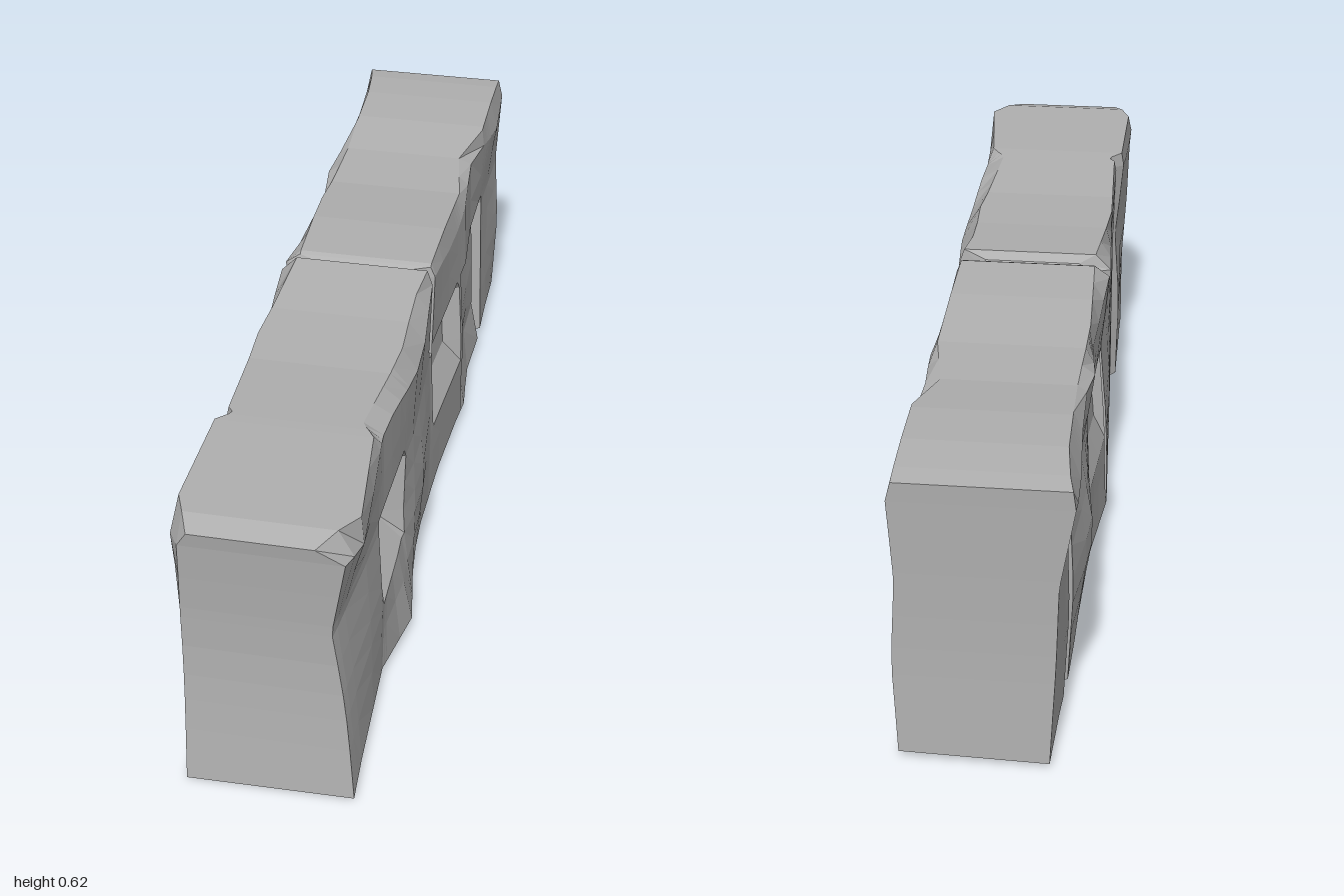
import * as THREE from 'three';

// piecewise-linear curve through [z, value] pairs
function curve(pts) {
  return z => {
    if (z <= pts[0][0]) return pts[0][1];
    for (let i = 1; i < pts.length; i++) {
      const [a, va] = pts[i - 1], [b, vb] = pts[i];
      if (z <= b) return va + (vb - va) * (z - a) / (b - a);
    }
    return pts[pts.length - 1][1];
  };
}

// half-width of each face along the wall, at five heights from base to top edge
const levels = [0.02, 0.22, 0.4, 0.57, 0.62];
const right = [
  [[-1, .14], [-.7, .15], [-.56, .145], [-.4, .165], [-.1, .15], [.1, .15], [.25, .16], [.45, .195], [.62, .165], [1, .185]],
  [[-1, .15], [-.8, .14], [-.4, .17], [0, .15], [.25, .18], [.4, .155], [.65, .17], [1, .165]],
  [[-1, .14], [-.6, .14], [-.4, .16], [0, .145], [.3, .165], [.7, .16], [1, .14]],
  [[-1, .15], [-.85, .16], [-.57, .14], [-.4, .155], [0, .15], [.25, .175], [.6, .16], [.9, .185], [1, .17]],
  [[-1, .14], [-.7, .145], [-.57, .11], [-.4, .14], [0, .14], [.12, .13], [.3, .14], [.6, .12], [.64, .15], [.9, .18], [1, .115]],
].map(curve);
const left = [
  [[-1, .15], [-.7, .16], [-.3, .16], [0, .185], [.25, .17], [.6, .15], [.64, .16], [1, .15]],
  [[-1, .16], [-.7, .17], [-.5, .195], [-.3, .165], [0, .18], [.2, .175], [.6, .15], [.64, .165], [1, .15]],
  [[-1, .165], [-.6, .16], [0, .165], [.6, .15], [.9, .165], [1, .15]],
  [[-1, .195], [-.9, .195], [-.6, .175], [-.5, .19], [-.3, .17], [0, .185], [.3, .165], [.6, .155], [.64, .17], [.95, .17], [1, .145]],
  [[-1, .19], [-.9, .17], [-.55, .16], [-.3, .165], [0, .15], [.3, .165], [.6, .15], [.64, .165], [.9, .165], [1, .125]],
].map(curve);

const topY = curve([[-1, .61], [-.9, .62], [-.72, .615], [-.57, .6], [-.4, .597], [-.2, .612], [-.03, .615],
  [-.01, .6], [.01, .622], [.2, .605], [.4, .6], [.6, .612], [.64, .614], [.95, .615], [1, .602]]);
const baseY = curve([[-1, .015], [-.85, .025], [-.55, .004], [-.3, .02], [.05, .01], [.3, .022], [.6, .015], [.9, .018], [1, .006]]);

// recessed areas between the stones: [zMin, zMax, yMin, yMax, depth]
const rightDents = [
  [.39, .63, .24, .395, .06], [-.31, -.03, .24, .395, .04],
  [-.73, -.35, .1, .395, .018], [-.745, -.715, 0, .395, .03], [-.02, 0, .4, .7, .05],
];
const leftDents = [
  [-.78, -.74, 0, .395, .035], [-.31, -.03, .24, .395, .022],
  [-.02, 0, .1, .7, .035], [.6, .625, 0, .7, .015],
];

const stations = [-1, -.95, -.85, -.785, -.77, -.75, -.74, -.72, -.705, -.57, -.48, -.4, -.36, -.345, -.325, -.305, -.2, -.12,
  -.035, -.025, -.015, -.005, .01, .1, .2, .3, .375, .395, .45, .52, .595, .61, .62, .645, .75, .9, .95, 1];
const rows = [.02, .12, .19, .25, .32, .39, .415, .49, .57, .62];

// one face point for a station and row
function facePoint(z, y, curves, dents, side) {
  let i = 0;
  while (i < 3 && y > levels[i + 1]) i++;
  const t = (y - levels[i]) / (levels[i + 1] - levels[i]);
  let x = curves[i](z) * (1 - t) + curves[i + 1](z) * t;
  let d = 0;
  for (const [z0, z1, y0, y1, depth] of dents)
    if (z >= z0 && z <= z1 && y >= y0 && y <= y1) d = Math.max(d, depth);
  x -= d;
  // base and crown follow the uneven stone courses
  let py = y;
  if (y === rows[0]) py = baseY(z) + side * .004;
  else if (y === rows[rows.length - 1]) py = topY(z);
  else if (y === .57) py += .018 * Math.cos(z * 11);
  // end faces dip at mid height
  const dip = .022 * Math.sin(Math.PI * y / .62);
  const pz = z === 1 ? 1 - dip : z === -1 ? -1 + dip * .4 : z;
  return [side * x, py, pz];
}

function wallGeometry() {
  const n = rows.length, out = [];
  const tri = (a, b, c) => out.push(...a, ...b, ...c);
  const quad = (a, b, c, d) => { tri(a, b, c); tri(a, c, d); };
  // rings run up the right face and down the left face
  const rings = stations.map(z => [
    ...rows.map(y => facePoint(z, y, right, rightDents, 1)),
    ...rows.slice().reverse().map(y => facePoint(z, y, left, leftDents, -1)),
  ]);
  for (let s = 0; s < rings.length - 1; s++) {
    const a = rings[s], b = rings[s + 1];
    for (let k = 0; k < 2 * n; k++) {
      const m = (k + 1) % (2 * n);
      quad(a[k], a[m], b[m], b[k]);
    }
  }
  // end faces
  const back = rings[0], front = rings[rings.length - 1];
  for (let k = 0; k < n - 1; k++) {
    const j = 2 * n - 1 - k;
    quad(front[j], front[k], front[k + 1], front[j - 1]);
    quad(back[k], back[j], back[j - 1], back[k + 1]);
  }
  const g = new THREE.BufferGeometry();
  g.setAttribute('position', new THREE.Float32BufferAttribute(out, 3));
  g.computeVertexNormals();
  return g;
}

export function createModel() {
  const stone = new THREE.MeshStandardMaterial({ color: 0xb0b0b0, flatShading: true });
  stone.name = 'stone grey';
  const wall = new THREE.Mesh(wallGeometry(), stone);
  wall.name = 'stoneWall';
  const group = new THREE.Group();
  group.name = 'wallSection';
  group.add(wall);
  return group;
}
